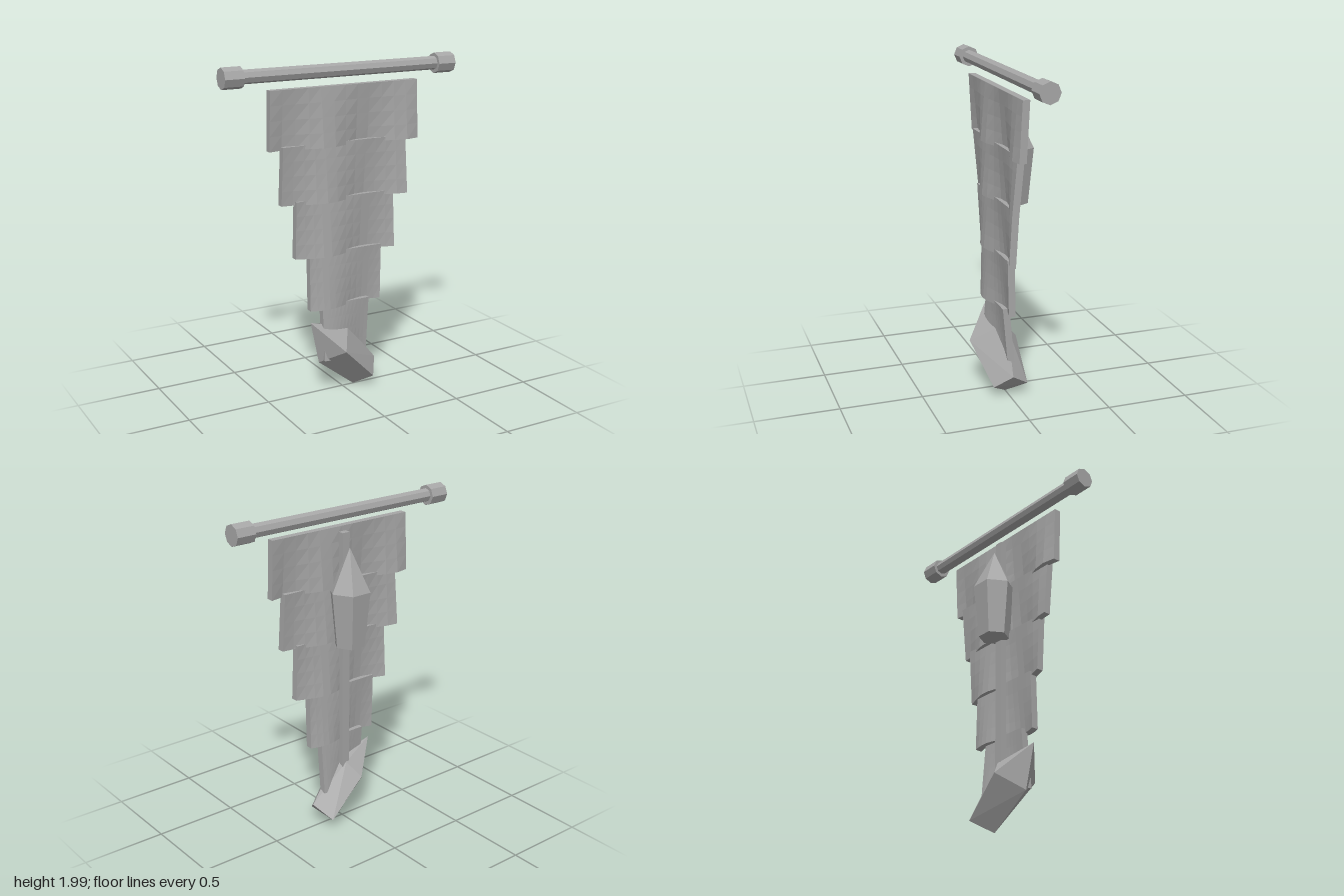
import * as THREE from 'three';
import { ConvexGeometry } from 'three/addons/geometries/ConvexGeometry.js';

export function createModel() {
  const group = new THREE.Group();
  const grey = new THREE.MeshStandardMaterial({ color: 0xa6a6a6 });
  grey.name = 'plain grey';
  grey.flatShading = true;

  const add = (name, geometry, x = 0, y = 0, z = 0) => {
    const mesh = new THREE.Mesh(geometry, grey);
    mesh.name = name;
    mesh.position.set(x, y, z);
    group.add(mesh);
    return mesh;
  };

  // Hanging rod with an octagonal cap at each end
  const barZ = -0.008;
  add('rod', new THREE.CylinderGeometry(0.04, 0.04, 1.4, 8), 0, 1.94, barZ).rotation.z = Math.PI / 2;
  for (const side of [-1, 1]) {
    const cap = new THREE.CylinderGeometry(0.061, 0.061, 0.115, 8);
    add(side > 0 ? 'leftCap' : 'rightCap', cap, side * 0.682, 1.939, barZ).rotation.z = Math.PI / 2;
  }

  // Five tapering cloth panels, rippling more toward the bottom edge
  const height = 0.345;
  [0.475, 0.4, 0.32, 0.24, 0.157].forEach((half, i) => {
    const geometry = new THREE.BoxGeometry(half * 2, height, 0.042, 12, 4, 1);
    const p = geometry.attributes.position;
    for (let k = 0; k < p.count; k++) {
      const drop = 0.5 - p.getY(k) / height;
      p.setZ(k, p.getZ(k) - 0.032 * drop * Math.sin(12 * p.getX(k)));
    }
    geometry.computeVertexNormals();
    add('clothPanel' + (i + 1), geometry, 0, 1.688 - i * 0.3235, 0.022);
  });

  // Spine pole behind the cloth
  add('spinePole', new THREE.BoxGeometry(0.05, 1.53, 0.04), 0, 1.065, -0.018);

  // Six-sided crystal on the back
  const profile = [[0, 1.145], [0.092, 1.168], [0.125, 1.5], [0, 1.75]];
  add('backCrystal', new THREE.LatheGeometry(
    profile.map(([r, y]) => new THREE.Vector2(r, y)), 6, Math.PI / 6 * 3), 0, 0, -0.07);

  // Irregular shard weighing down the bottom
  const shard = [
    [-0.23, 0.465, 0.03], [-0.07, 0.3, 0.178], [0.02, 0.4, 0.03], [0, 0.39, -0.04],
    [-0.06, 0.3, -0.115], [0.225, 0.155, 0], [0.16, 0.075, 0.1], [0.16, 0.075, -0.113],
    [0.075, 0.006, 0], [-0.172, 0.2, 0.02],
  ];
  add('bottomShard', new ConvexGeometry(shard.map((v) => new THREE.Vector3(...v))));

  return group;
}
